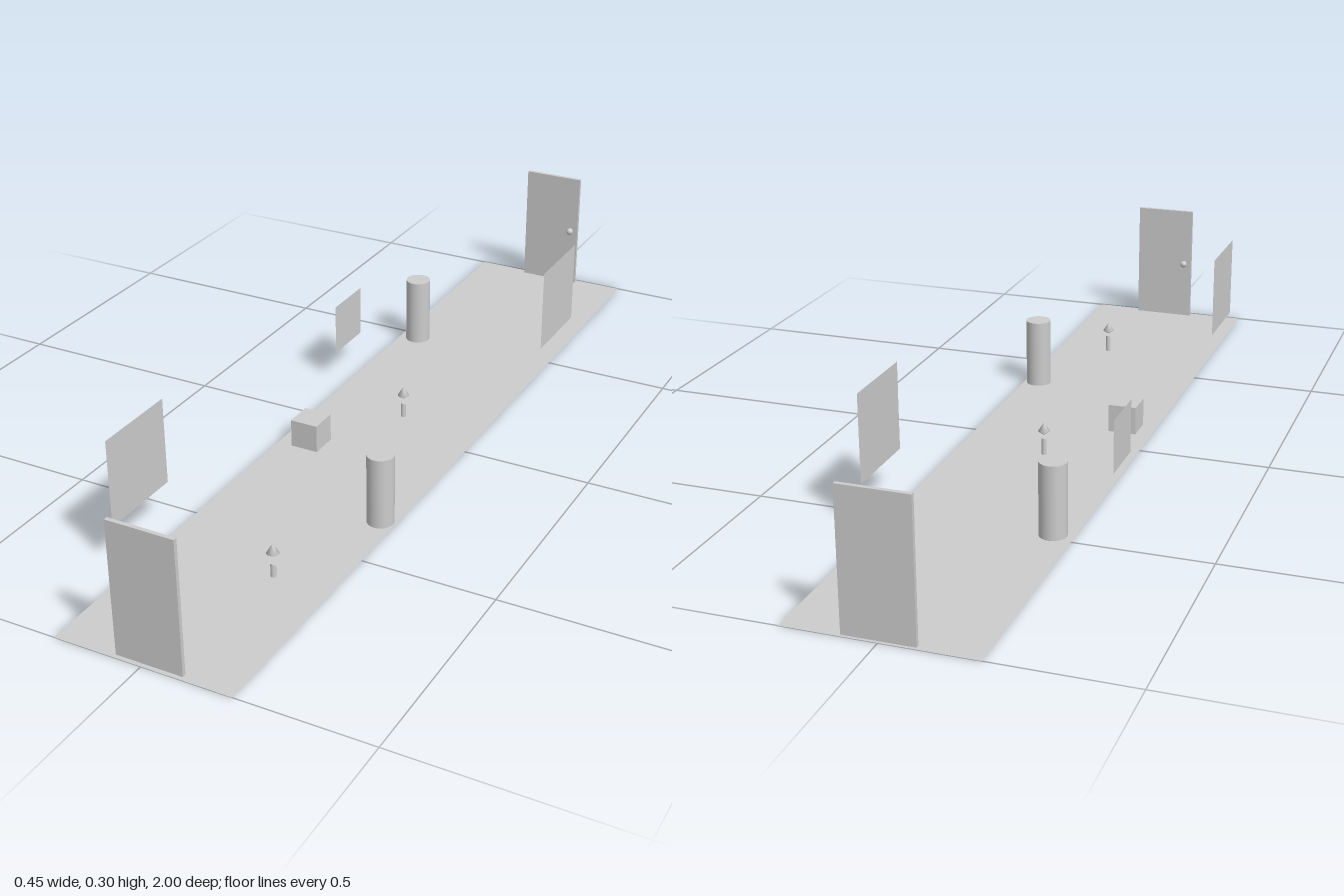
import * as THREE from 'three';

export function createModel() {
  const model = new THREE.Group();
  model.name = 'corridor';
  const grey = new THREE.MeshStandardMaterial({ color: 0xcccccc, side: THREE.DoubleSide });
  grey.name = 'plain grey';

  function add(name, geometry, x, y, z, parent = model) {
    const mesh = new THREE.Mesh(geometry, grey);
    mesh.name = name;
    mesh.position.set(x, y, z);
    parent.add(mesh);
    return mesh;
  }

  // Long flat floor
  add('floor', new THREE.PlaneGeometry(0.4, 2), 0, 0, 0).rotation.x = -Math.PI / 2;

  // A door at each end, with its knob facing the middle of the corridor
  for (const [name, x, z, knobX] of [
    ['frontDoor', 0.012, 0.986, -0.043],
    ['backDoor', 0.002, -0.989, 0.057],
  ]) {
    const door = new THREE.Group();
    door.name = name;
    model.add(door);
    add('doorPanel', new THREE.BoxGeometry(0.15, 0.3, 0.009), x, 0.15, z, door);
    add('doorKnob', new THREE.SphereGeometry(0.009, 20, 14), knobX, 0.15, z - Math.sign(z) * 0.009, door);
  }

  // Thin pictures hanging along both sides
  for (const [name, size, height, x, y, z] of [
    ['rightFrontPicture', 0.198, 0.198, -0.23, 0.198, 0.654],
    ['rightBackPicture', 0.128, 0.122, -0.23, 0.134, -0.242],
    ['leftPicture', 0.198, 0.198, 0.225, 0.198, -0.477],
  ]) {
    add(name, new THREE.PlaneGeometry(size, height), x, y, z).rotation.y = -Math.sign(x) * Math.PI / 2;
  }

  // Round pillars
  for (const [name, x, z] of [['rightPillar', -0.155, -0.478], ['leftPillar', 0.165, 0.348]]) {
    add(name, new THREE.CylinderGeometry(0.03, 0.03, 0.164, 32), x, 0.082, z);
  }

  // Crate
  add('crate', new THREE.BoxGeometry(0.066, 0.066, 0.066), -0.131, 0.033, 0.123);

  // Small stands: post, square sheet and pointed tip
  for (const [name, x, z] of [['middleStand', 0, -0.087], ['frontStand', 0.068, 0.63]]) {
    const stand = new THREE.Group();
    stand.name = name;
    stand.position.set(x, 0, z);
    model.add(stand);
    add('post', new THREE.CylinderGeometry(0.006, 0.006, 0.05, 20), 0, 0.025, 0, stand);
    add('sheet', new THREE.PlaneGeometry(0.06, 0.06), 0, 0.05, 0, stand).rotation.x = -Math.PI / 2;
    const profile = [[0, 0.046], [0.0135, 0.056], [0, 0.077]].map(([r, y]) => new THREE.Vector2(r, y));
    add('tip', new THREE.LatheGeometry(profile, 20), 0, 0, 0, stand);
  }

  return model;
}
